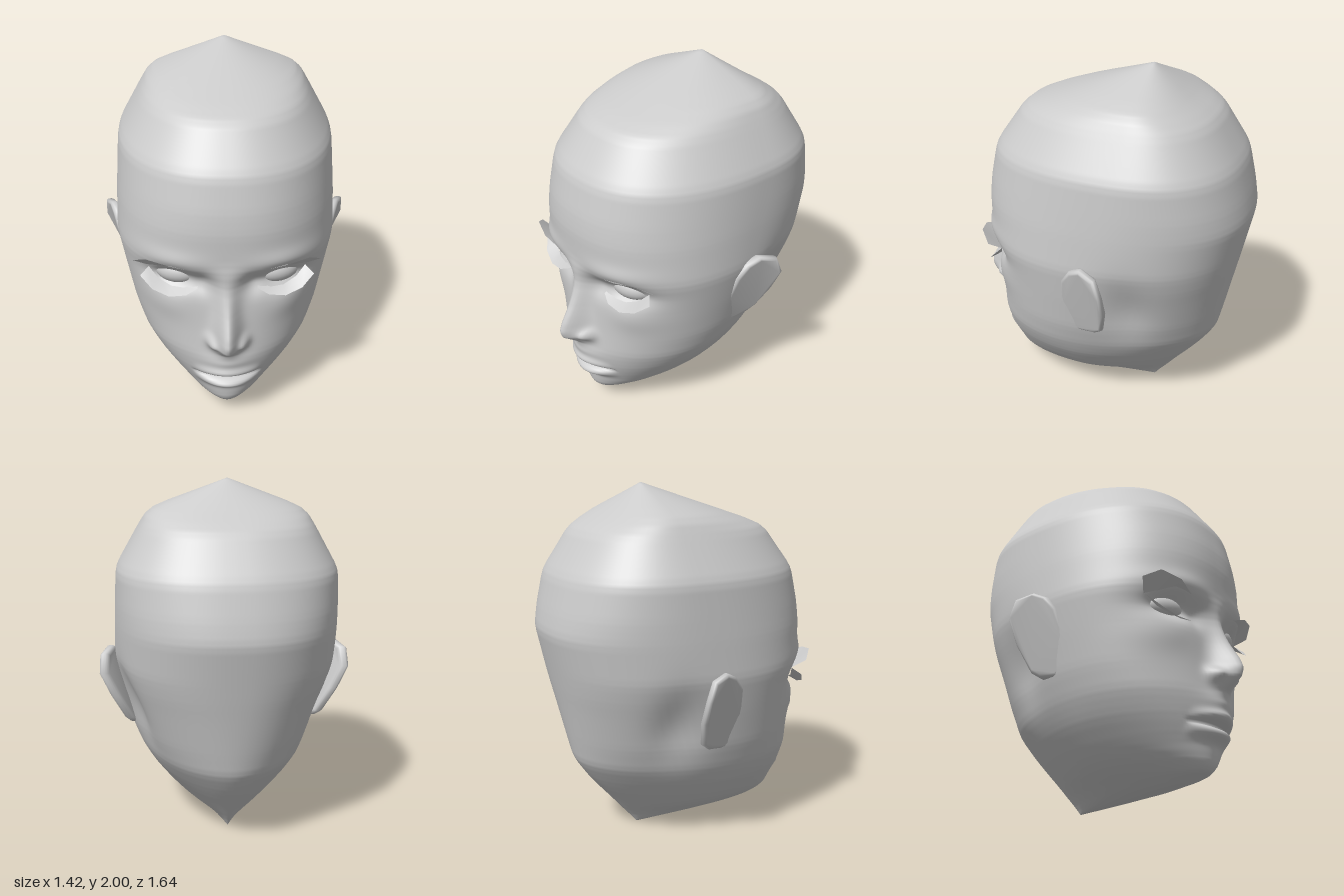
import * as THREE from 'three';
import { ParametricGeometry } from 'three/addons/geometries/ParametricGeometry.js';
import { mergeVertices } from 'three/addons/utils/BufferGeometryUtils.js';

// Piecewise-linear lookup, softened a little at the corners
function lookup(table, col, y) {
  const raw = (q) => {
    for (let i = 1; i < table.length; i++) {
      const a = table[i - 1], b = table[i];
      if (q <= b[0]) return a[col] + (b[col] - a[col]) * Math.max(0, (q - a[0]) / (b[0] - a[0]));
    }
    return table[table.length - 1][col];
  };
  const d = Math.max(0, Math.min(0.035, y, 2 - y));
  return (raw(y - d) + 2 * raw(y) + raw(y + d)) / 4;
}
const bump = (x, y, cx, cy, sx, sy) => Math.exp(-(((x - cx) / sx) ** 2) - ((y - cy) / sy) ** 2);

// Skull sections: height, front z, back z, half width, z of widest point, front power, back power
const SKULL = [
  [0.0, -0.28, -0.28, 0.0, -0.28, 2, 1.6],
  [0.05, 0.52, -0.32, 0.1, 0.08, 2, 1.6],
  [0.08, 0.585, -0.35, 0.15, 0.1, 2, 1.6],
  [0.14, 0.62, -0.4, 0.25, 0.1, 2, 1.6],
  [0.21, 0.625, -0.46, 0.32, 0.1, 2, 1.65],
  [0.26, 0.645, -0.505, 0.36, 0.1, 2, 1.7],
  [0.35, 0.665, -0.58, 0.43, 0.1, 2, 1.75],
  [0.46, 0.675, -0.655, 0.49, 0.1, 2.05, 1.9],
  [0.6, 0.665, -0.687, 0.54, 0.06, 2.1, 2.0],
  [0.8, 0.655, -0.73, 0.585, 0.02, 2.2, 2.15],
  [0.9, 0.655, -0.752, 0.605, 0, 2.3, 2.25],
  [1.0, 0.69, -0.773, 0.625, -0.02, 2.3, 2.3],
  [1.22, 0.7, -0.82, 0.62, -0.08, 2.3, 2.35],
  [1.33, 0.69, -0.8, 0.615, -0.12, 2.3, 2.4],
  [1.52, 0.65, -0.753, 0.605, -0.17, 2.3, 2.4],
  [1.76, 0.48, -0.6, 0.47, -0.2, 2.3, 2.4],
  [1.84, 0.24, -0.46, 0.42, -0.22, 2.2, 2.3],
  [2.0, -0.23, -0.23, 0.0, -0.23, 2, 2],
];
// Nose: height, projection, half width
const NOSE = [
  [0.44, 0, 0.06], [0.49, 0.02, 0.07], [0.525, 0.09, 0.075], [0.56, 0.15, 0.07], [0.61, 0.16, 0.064],
  [0.66, 0.14, 0.06], [0.75, 0.09, 0.055], [0.85, 0.05, 0.055], [0.93, 0.03, 0.06], [1.03, 0, 0.08],
];

// Forward displacement of the face surface
function faceRelief(x, y) {
  const ax = Math.abs(x);
  let d = lookup(NOSE, 1, y) * Math.exp(-((ax / lookup(NOSE, 2, y)) ** 2));
  d += 0.045 * bump(ax, y, 0.085, 0.57, 0.03, 0.035);              // nostril wings
  d -= 0.07 * bump(ax, y, 0.28, 0.915, 0.13, 0.065);               // eye sockets
  d -= 0.025 * bump(ax, y, 0.13, 0.9, 0.05, 0.07);                 // inner eye corners
  d += 0.015 * bump(ax, y, 0.3, 1.05, 0.16, 0.05);                 // brows
  d += 0.02 * bump(ax, y, 0.34, 0.76, 0.13, 0.1);                  // cheekbones
  d += 0.03 * bump(ax, y, 0, 0.42, 0.12, 0.06);                    // muzzle
  const lip = Math.max(0, 1 - (ax / 0.19) ** 2), curve = 0.05 * ax * ax;
  d += lip * 0.035 * bump(0, y + curve * 8, 0, 0.355, 1, 0.027);   // upper lip
  d += lip * 0.045 * bump(0, y - curve * 8, 0, 0.265, 1, 0.03);    // lower lip
  d -= (ax < 0.19 ? Math.sqrt(lip) : 0) * 0.035 * bump(0, y, 0, 0.312, 1, 0.012); // mouth line
  return d;
}

function skullPoint(u, v, target) {
  const y = 2 * v, t = (u - 0.5) * 2 * Math.PI;
  const phi = t - 0.6 * Math.sin(t);                               // denser toward the face
  const [zf, zb, w, zc, pf, pb] = [1, 2, 3, 4, 5, 6].map((c) => lookup(SKULL, c, y));
  const s = Math.sin(phi), c = Math.cos(phi), p = c > 0 ? pf : pb;
  let x = w * Math.sign(s) * Math.abs(s) ** (2 / p);
  let z = zc + (c > 0 ? zf - zc : zb - zc) * Math.abs(c) ** (2 / p);
  if (c > 0 && z > 0.15) z += faceRelief(x, y) * Math.min(1, (z - 0.15) / 0.15);
  x *= 1 - 0.09 * bump(z, y, -0.27, 0.72, 0.14, 0.22);             // hollow behind the ears
  target.set(x, y, z);
}

// Thin strip between two edges of equal length
function strip(inner, outer) {
  const idx = [];
  for (let i = 0; i < inner.length - 1; i++) {
    const a = 2 * i;
    idx.push(a, a + 2, a + 1, a + 1, a + 2, a + 3);
  }
  const g = new THREE.BufferGeometry();
  g.setAttribute('position', new THREE.Float32BufferAttribute(inner.flatMap((p, i) => [...p, ...outer[i]]), 3));
  g.setIndex(idx);
  g.computeVertexNormals();
  return g;
}

// Flared plate following a rounded outline in z and y
function earGeometry() {
  const outline = [[0.05, 0.93], [0.0, 1.0], [-0.06, 1.03], [-0.14, 1.01], [-0.175, 0.92], [-0.17, 0.79],
    [-0.13, 0.65], [-0.09, 0.62], [0.0, 0.61], [0.06, 0.64], [0.07, 0.78]];
  const shape = new THREE.Shape(outline.map(([z, y]) => new THREE.Vector2(-z, y)));
  let g = new THREE.ExtrudeGeometry(shape, { depth: 0.015, bevelThickness: 0.02, bevelSize: 0.02, bevelSegments: 3 });
  g.rotateY(Math.PI / 2);                                          // shape x becomes -z, depth becomes x
  const p = g.attributes.position;
  for (let i = 0; i < p.count; i++) {
    const y = p.getY(i), z = p.getZ(i);
    const root = 0.495 + 0.1 * Math.min(1, Math.max(0, (y - 0.6) / 0.35));
    p.setX(i, p.getX(i) + root + 0.38 * (0.06 - z) * Math.min(1, 0.4 + (y - 0.6) * 2));
  }
  g.deleteAttribute('uv');
  g.deleteAttribute('normal');
  g = mergeVertices(g, 1e-4);
  g.computeVertexNormals();
  return g;
}

export function createModel() {
  const model = new THREE.Group();
  model.name = 'head';
  const skin = new THREE.MeshStandardMaterial({ color: 0xcccccc });
  const thin = new THREE.MeshStandardMaterial({ color: 0xcccccc, side: THREE.DoubleSide });
  const add = (parent, name, geometry, material) => {
    const m = new THREE.Mesh(geometry, material);
    m.name = name;
    parent.add(m);
    return m;
  };

  // Skull and face in one surface
  let skull = new ParametricGeometry(skullPoint, 128, 200);
  skull.deleteAttribute('uv');
  skull.deleteAttribute('normal');
  skull = mergeVertices(skull, 1e-4);
  skull.computeVertexNormals();
  add(model, 'skull', skull, skin);

  // Eyes, lashes and ears, mirrored
  const eye = new THREE.SphereGeometry(1, 32, 20);
  const upperLash = strip(
    [[0.14, 0.93, 0.6], [0.2, 0.975, 0.61], [0.3, 0.99, 0.59], [0.38, 0.975, 0.555], [0.43, 0.955, 0.51]],
    [[0.14, 0.955, 0.62], [0.2, 0.995, 0.655], [0.31, 1.035, 0.67], [0.43, 1.055, 0.63], [0.5, 1.01, 0.56]]);
  const lowerLash = strip(
    [[0.16, 0.885, 0.59], [0.23, 0.86, 0.6], [0.3, 0.865, 0.585], [0.37, 0.895, 0.55], [0.42, 0.95, 0.52]],
    [[0.16, 0.865, 0.62], [0.22, 0.84, 0.645], [0.31, 0.83, 0.64], [0.4, 0.86, 0.61], [0.465, 0.915, 0.56]]);
  const ear = earGeometry();
  for (const [side, sx] of [['left', 1], ['right', -1]]) {
    const half = new THREE.Group();
    half.name = side + 'Features';
    half.scale.x = sx;
    const ball = add(half, side + 'Eye', eye, skin);
    ball.scale.set(0.135, 0.08, 0.1);
    ball.position.set(0.265, 0.925, 0.487);
    ball.rotation.y = 0.38;
    add(half, side + 'UpperLash', upperLash, thin);
    add(half, side + 'LowerLash', lowerLash, thin);
    add(half, side + 'Ear', ear, skin);
    model.add(half);
  }
  return model;
}
